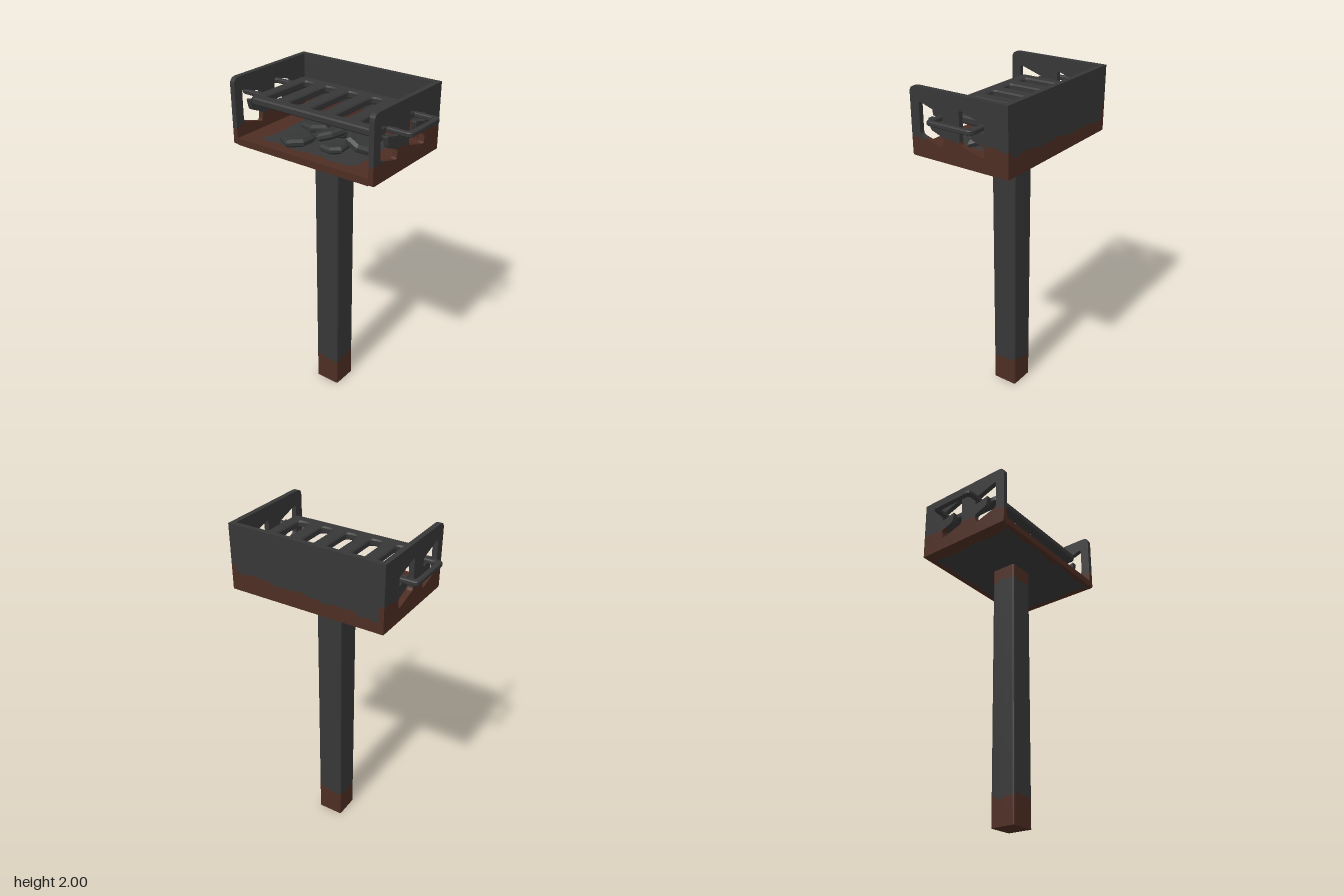
import * as THREE from 'three';

const iron = new THREE.MeshStandardMaterial({ color: 0x373737 });
iron.name = 'dark iron';
const rust = new THREE.MeshStandardMaterial({ color: 0x4d2d23 });
rust.name = 'rust';
const coal = new THREE.MeshStandardMaterial({ color: 0x353636, flatShading: true });
coal.name = 'coal';

// Closed outline through points [x, y, cornerRadius]
function outline(points, Type = THREE.Shape) {
  const path = new Type();
  const n = points.length;
  points.forEach(([x, y, r = 0], i) => {
    const p = new THREE.Vector2(x, y);
    const toward = (q) => new THREE.Vector2(q[0] - x, q[1] - y).setLength(r).add(p);
    const a = toward(points[(i + n - 1) % n]);
    const b = toward(points[(i + 1) % n]);
    if (i === 0) path.moveTo(a.x, a.y);
    else path.lineTo(a.x, a.y);
    if (r > 0) path.quadraticCurveTo(x, y, b.x, b.y);
  });
  path.closePath();
  return path;
}

const rect = (x0, y0, x1, y1, r) => [[x0, y0, r], [x1, y0, r], [x1, y1, r], [x0, y1, r]];

// Extrusion of full thickness t with a bevel that stays inside the outline
function plate(shape, t, bevel = 0) {
  return new THREE.ExtrudeGeometry(shape, {
    depth: t - 2 * bevel, curveSegments: 4, bevelEnabled: bevel > 0,
    bevelSize: bevel, bevelThickness: bevel, bevelOffset: -bevel, bevelSegments: 1,
  }).translate(0, 0, bevel);
}

// Ragged edge for the rust
const ragged = (t) => 0.007 * Math.sin(t * 23 + 1) + 0.005 * Math.sin(t * 61) + 0.003 * Math.sin(t * 140);

// Cuts a geometry along rustiness(p) = 0 into a rust group and an iron group
function rusted(name, geometry, rustiness) {
  const source = geometry.index ? geometry.toNonIndexed() : geometry;
  const pos = source.attributes.position;
  const sides = [[], []];
  const emit = (poly, side) => {
    for (let i = 1; i + 1 < poly.length; i++) {
      for (const p of [poly[0], poly[i], poly[i + 1]]) sides[side].push(p.x, p.y, p.z);
    }
  };
  const divide = (a, b, c) => {
    const tri = [a, b, c];
    const d = tri.map(rustiness);
    const len = tri.map((p, i) => p.distanceTo(tri[(i + 1) % 3]));
    const longest = Math.max(...len);
    const clear = Math.min(...d.map(Math.abs)) > longest * 1.3 && (d.every((v) => v > 0) || d.every((v) => v < 0));
    if (clear) return emit(tri, d[0] > 0 ? 0 : 1);
    if (longest > 0.035) {
      const i = len.indexOf(longest);
      const [p, q, r] = [tri[i], tri[(i + 1) % 3], tri[(i + 2) % 3]];
      const m = p.clone().lerp(q, 0.5);
      divide(p, m, r);
      divide(m, q, r);
      return;
    }
    const halves = [[], []];
    tri.forEach((p, i) => {
      const j = (i + 1) % 3;
      halves[d[i] > 0 ? 0 : 1].push(p);
      if ((d[i] > 0) !== (d[j] > 0)) {
        const m = p.clone().lerp(tri[j], d[i] / (d[i] - d[j]));
        halves[0].push(m);
        halves[1].push(m);
      }
    });
    halves.forEach(emit);
  };
  for (let i = 0; i < pos.count; i += 3) {
    divide(...[0, 1, 2].map((k) => new THREE.Vector3().fromBufferAttribute(pos, i + k)));
  }
  const out = new THREE.BufferGeometry();
  out.setAttribute('position', new THREE.Float32BufferAttribute([...sides[0], ...sides[1]], 3));
  out.computeVertexNormals();
  out.addGroup(0, sides[0].length / 3, 0);
  out.addGroup(sides[0].length / 3, sides[1].length / 3, 1);
  const mesh = new THREE.Mesh(out, [rust, iron]);
  mesh.name = name;
  return mesh;
}

function box(x0, x1, y0, y1, z0, z1) {
  return new THREE.BoxGeometry(x1 - x0, y1 - y0, z1 - z0)
    .translate((x0 + x1) / 2, (y0 + y1) / 2, (z0 + z1) / 2);
}

// Side wall with two hooked slots that hold the grate at either height
function sideWall(name, outerX) {
  const shape = outline([[-0.315, 1.62], [0.31, 1.62, 0.012], [0.31, 2, 0.04], [-0.315, 2]]);
  for (const z of [0.252, -0.012]) {
    shape.holes.push(outline([
      [z, 1.925, 0.02], [z - 0.158, 1.875, 0.012], [z - 0.158, 1.825, 0.012],
      [z - 0.06, 1.85, 0.012], [z - 0.075, 1.785, 0.015], [z - 0.16, 1.755, 0.015],
      [z - 0.15, 1.697, 0.015], [z, 1.74, 0.02],
    ], THREE.Path));
  }
  const g = plate(shape, 0.03).rotateY(-Math.PI / 2).translate(outerX, 0, 0);
  return rusted(name, g, (p) => 1.755 - 0.11 * Math.max(0, p.z - 0.02) - 0.05 * Math.min(0, p.z) + ragged(p.z + outerX) - p.y);
}

// Flat coal lump: a squashed, uneven six-sided pebble
function lump(x, y, z, rx, h, rz, turn, tilt, seed) {
  const profile = [[0, -0.5], [0.78, -0.5], [1, -0.2], [1, 0.2], [0.78, 0.5], [0, 0.5]];
  const g = new THREE.LatheGeometry(profile.map(([r, v]) => new THREE.Vector2(r, v)), 6);
  const pos = g.attributes.position;
  for (let i = 0; i < pos.count; i++) {
    const a = Math.atan2(pos.getZ(i), pos.getX(i));
    const k = 1 + 0.14 * Math.sin(2 * a + seed) + 0.08 * Math.sin(3 * a + seed * 2);
    pos.setXYZ(i, pos.getX(i) * k * rx, pos.getY(i) * h, pos.getZ(i) * k * rz);
  }
  g.computeVertexNormals();
  const mesh = new THREE.Mesh(g, coal);
  mesh.name = 'coalLump';
  mesh.position.set(x, y, z);
  mesh.rotation.set(0, turn, tilt, 'ZYX');
  return mesh;
}

export function createModel() {
  const model = new THREE.Group();
  model.name = 'parkGrill';

  // Square post, rusted at both ends
  const postGeo = plate(outline(rect(-0.08, -0.08, 0.08, 0.08, 0.012)), 1.62).rotateX(-Math.PI / 2);
  model.add(rusted('post', postGeo, (p) => {
    const wave = 1.3 * ragged(p.x * 1.4 + p.z);
    return Math.max(0.173 + 0.1 * p.x + wave - p.y, p.y - 1.53 + wave);
  }));

  // Open-fronted fire box
  const fireBox = new THREE.Group();
  fireBox.name = 'fireBox';
  fireBox.add(sideWall('leftWall', 0.47), sideWall('rightWall', -0.44));
  fireBox.add(rusted('backWall', box(-0.44, 0.44, 1.62, 2, -0.315, -0.285), (p) => {
    const line = p.z < -0.3 ? 1.71 + 0.05 * p.x : 1.748;
    return line + ragged(p.x) - p.y;
  }));
  fireBox.add(rusted('floor', box(-0.44, 0.44, 1.62, 1.66, -0.285, 0.31), (p) => {
    const wave = ragged(p.x + p.z);
    if (p.y > 1.64) return Math.max(Math.abs(p.x + 0.01) - 0.31, p.z - 0.24, -0.24 - p.z) + wave;
    return Math.max(p.x - 0.435, -0.39 - p.x, p.z - 0.28, -0.28 - p.z) + wave;
  }));
  model.add(fireBox);

  // Slotted grate with a looped handle through each side wall
  const grate = new THREE.Group();
  grate.name = 'grate';
  const top = outline(rect(-0.42, -0.245, 0.42, 0.22, 0.035));
  for (const x of [-0.317, -0.16, -0.003, 0.156, 0.315]) {
    top.holes.push(outline(rect(x - 0.038, -0.185, x + 0.038, 0.155, 0.025), THREE.Path));
  }
  const grid = new THREE.Mesh(plate(top, 0.042, 0.008).rotateX(Math.PI / 2).translate(0, 1.878, 0), iron);
  grid.name = 'grateTop';
  grate.add(grid);
  for (const s of [1, -1]) {
    const loop = outline([
      [0.41, -0.163], [0.567, -0.163, 0.03], [0.567, 0.13, 0.03], [0.41, 0.13],
      [0.41, 0.1], [0.536, 0.1, 0.02], [0.536, -0.132, 0.02], [0.41, -0.132],
    ].map(([x, z, r]) => [s * x, z, r]));
    const handle = new THREE.Mesh(plate(loop, 0.026, 0.005).rotateX(Math.PI / 2).translate(0, 1.869, 0), iron);
    handle.name = s > 0 ? 'leftHandle' : 'rightHandle';
    grate.add(handle);
  }
  model.add(grate);

  // Coals on the floor
  const coals = new THREE.Group();
  coals.name = 'coals';
  [
    [-0.19, 1.68, -0.08, 0.09, 0.045, 0.11, 0.3, 0],
    [-0.13, 1.682, 0.16, 0.1, 0.045, 0.09, 1.1, 0],
    [-0.01, 1.685, -0.1, 0.1, 0.05, 0.1, 0.6, 0.1],
    [0.01, 1.715, 0.06, 0.085, 0.045, 0.09, 1.9, 0.3],
    [0.16, 1.685, -0.1, 0.09, 0.05, 0.1, 2.4, 0],
    [0.1, 1.682, 0.13, 0.07, 0.04, 0.08, 0.2, 0],
    [0.21, 1.71, 0.05, 0.09, 0.05, 0.09, 1.4, -0.4],
  ].forEach((c, i) => coals.add(lump(...c, i * 1.7 + 0.5)));
  model.add(coals);

  return model;
}
